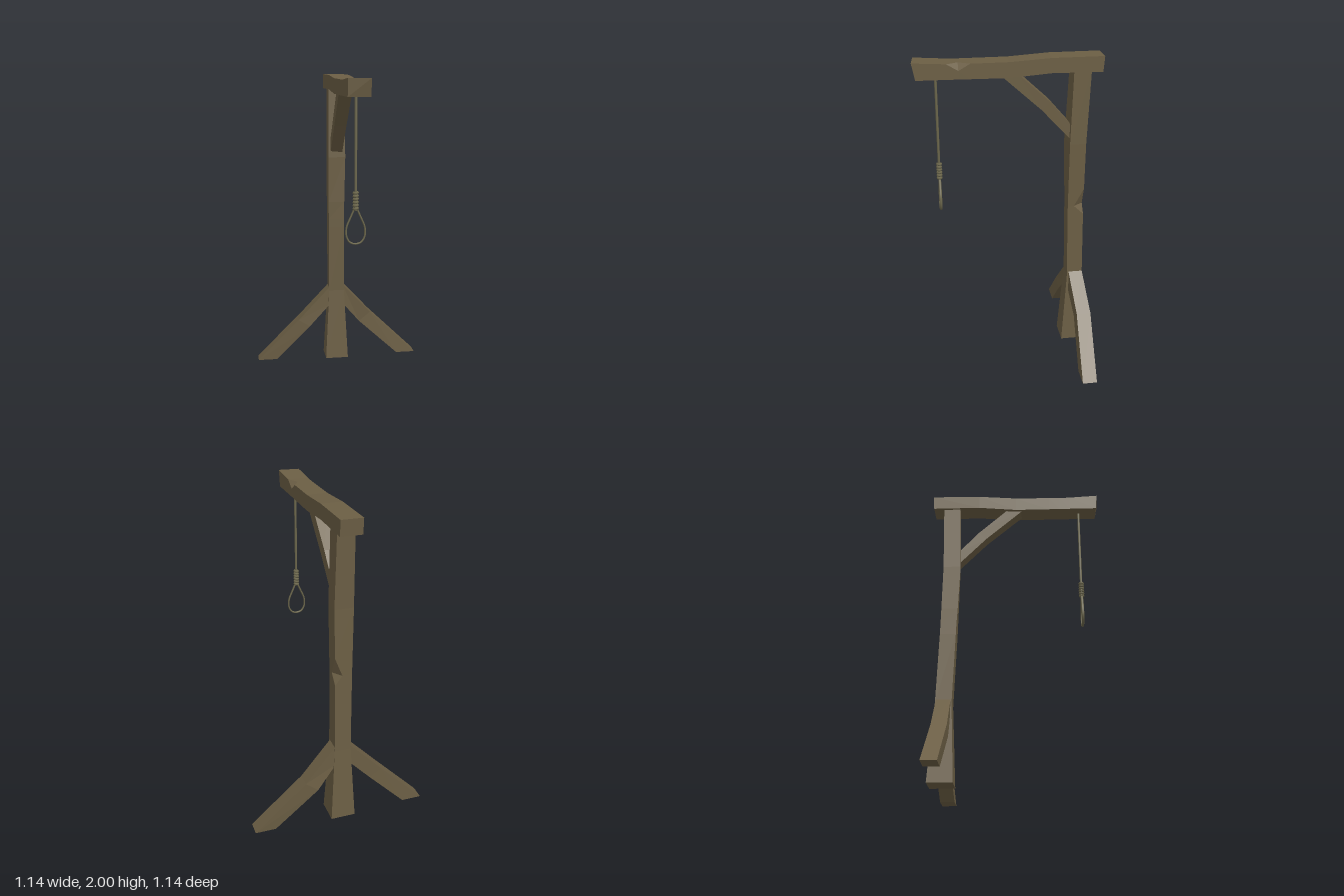
import * as THREE from 'three';

const wood = new THREE.MeshStandardMaterial({ color: 0x6b5e44 });
wood.name = 'weathered wood';
wood.flatShading = true;
const hemp = new THREE.MeshStandardMaterial({ color: 0x6c674c });
hemp.name = 'hemp rope';

// Skins a row of cross-sections (counter-clockwise about the direction of travel) and caps both ends.
function timber(name, sections) {
  const pos = [];
  const tri = (a, b, c) => {
    const n = new THREE.Vector3().subVectors(b, a).cross(new THREE.Vector3().subVectors(c, a));
    if (n.length() > 1e-9) for (const p of [a, b, c]) pos.push(p.x, p.y, p.z);
  };
  const rings = sections.map(s => s.map(p => new THREE.Vector3(...p)));
  const n = rings[0].length;
  for (let k = 0; k < rings.length - 1; k++) {
    const a = rings[k], b = rings[k + 1];
    for (let i = 0; i < n; i++) {
      const j = (i + 1) % n;
      tri(a[i], a[j], b[j]);
      tri(a[i], b[j], b[i]);
    }
  }
  const first = rings[0], last = rings[rings.length - 1];
  for (let i = 1; i < n - 1; i++) {
    tri(first[0], first[i + 1], first[i]);
    tri(last[0], last[i], last[i + 1]);
  }
  const g = new THREE.BufferGeometry();
  g.setAttribute('position', new THREE.Float32BufferAttribute(pos, 3));
  g.computeVertexNormals();
  const mesh = new THREE.Mesh(g, wood);
  mesh.name = name;
  return mesh;
}

// Upright post section; a notch splits the back left corner into two points.
const postSection = ([y, x0, x1, z0, z1, cutX = 0, cutZ = 0, skew = 0]) => [
  [x0, y, z1 + skew], [x1, y, z1], [x1, y, z0 + cutZ], [x1 - cutX, y, z0], [x0, y, z0],
];

// Beam section; a notch splits the upper left edge, and the ends are sawn at a slant.
const beamSection = ([z, x0, x1, y0, y1, cutX = 0, cutY = 0, slant = 0, chip = 0]) => [
  [x0, y0, z - slant], [x1, y0, z - slant], [x1, y1 - cutY, z], [x1 - cutX, y1, z], [x0, y1, z - chip],
];

// Leg section given by its upper and lower edge points.
const legSection = ([xu, yu, xl, yl, z0, z1]) => [
  [xl, yl, z0], [xu, yu, z0], [xu, yu, z1], [xl, yl, z1],
];

// Brace section given by its lower and upper edge points.
const braceSection = ([zl, yl, zu, yu, x0, x1]) => [
  [x0, yl, zl], [x1, yl, zl], [x1, yu, zu], [x0, yu, zu],
];

function buildRope() {
  const rope = new THREE.Group();
  rope.name = 'rope';
  rope.position.set(-0.005, 0, 0.432);
  const add = (name, geometry) => {
    const mesh = new THREE.Mesh(geometry, hemp);
    mesh.name = name;
    rope.add(mesh);
    return mesh;
  };

  // Hanging length
  add('ropeLine', new THREE.CylinderGeometry(0.008, 0.008, 0.67, 8)).position.y = 1.575;

  // Wrapped coils
  for (let i = 0; i < 6; i++) {
    const coil = add('ropeCoil', new THREE.TorusGeometry(0.011, 0.0085, 6, 12));
    coil.rotation.set(Math.PI / 2, 0.15, 0);
    coil.position.y = 1.252 + i * 0.0185;
  }

  // Teardrop loop, a little deeper than it is wide
  const half = [[0.008, 1.25], [0.03, 1.2], [0.054, 1.14], [0.054, 1.085], [0.033, 1.05]];
  const points = [
    ...half.map(([x, y]) => new THREE.Vector3(x, y, 0)),
    new THREE.Vector3(0, 1.04, 0),
    ...half.slice().reverse().map(([x, y]) => new THREE.Vector3(-x, y, 0)),
  ];
  const loop = new THREE.TubeGeometry(new THREE.CatmullRomCurve3(points), 32, 0.0055, 8, false);
  loop.scale(1, 1, 1.5);
  add('ropeLoop', loop);
  return rope;
}

export function createModel() {
  const model = new THREE.Group();
  model.name = 'timberFrame';

  // Upright post, flared at the foot and notched at the back
  model.add(timber('post', [
    [0, -0.088, 0.07, -0.522, -0.365],
    [0.5, -0.06, 0.045, -0.495, -0.393],
    [0.96, -0.062, 0.044, -0.484, -0.382],
    [1.02, -0.062, 0.044, -0.483, -0.381, 0.045, 0.062],
    [1.14, -0.063, 0.046, -0.482, -0.38, 0, 0, 0.004],
    [1.45, -0.065, 0.053, -0.48, -0.378, 0, 0, 0.012],
    [1.93, -0.058, 0.048, -0.495, -0.388, 0, 0, 0.006],
  ].map(postSection)));

  // Overhead beam, running back to front
  model.add(timber('beam', [
    [-0.568, -0.075, 0.057, 1.905, 2, 0, 0, -0.006],
    [-0.25, -0.074, 0.057, 1.909, 2],
    [0, -0.071, 0.057, 1.89, 1.985],
    [0.23, -0.07, 0.058, 1.893, 1.985],
    [0.3, -0.07, 0.058, 1.894, 1.985, 0.04, 0.04],
    [0.37, -0.07, 0.059, 1.895, 1.987],
    [0.57, -0.07, 0.061, 1.897, 2, 0, 0, 0.02, 0.012],
  ].map(beamSection)));

  // Diagonal brace between post and beam
  model.add(timber('brace', [
    [-0.385, 1.475, -0.385, 1.57, -0.048, 0.032],
    [-0.2, 1.675, -0.25, 1.725, -0.046, 0.034],
    [0.05, 1.9, -0.06, 1.9, -0.05, 0.034],
  ].map(braceSection)));

  // Splayed legs
  model.add(timber('leftLeg', [
    [0.035, 0.54, 0.035, 0.4, -0.493, -0.402],
    [0.24, 0.315, 0.16, 0.25, -0.518, -0.425],
    [0.567, 0, 0.435, 0, -0.498, -0.405],
  ].map(legSection)));
  model.add(timber('rightLeg', [
    [-0.05, 0.53, -0.05, 0.4, -0.49, -0.4],
    [-0.28, 0.29, -0.2, 0.24, -0.484, -0.39],
    [-0.57, 0, -0.44, 0, -0.492, -0.4],
  ].map(legSection).map(s => s.reverse())));

  model.add(buildRope());
  return model;
}
